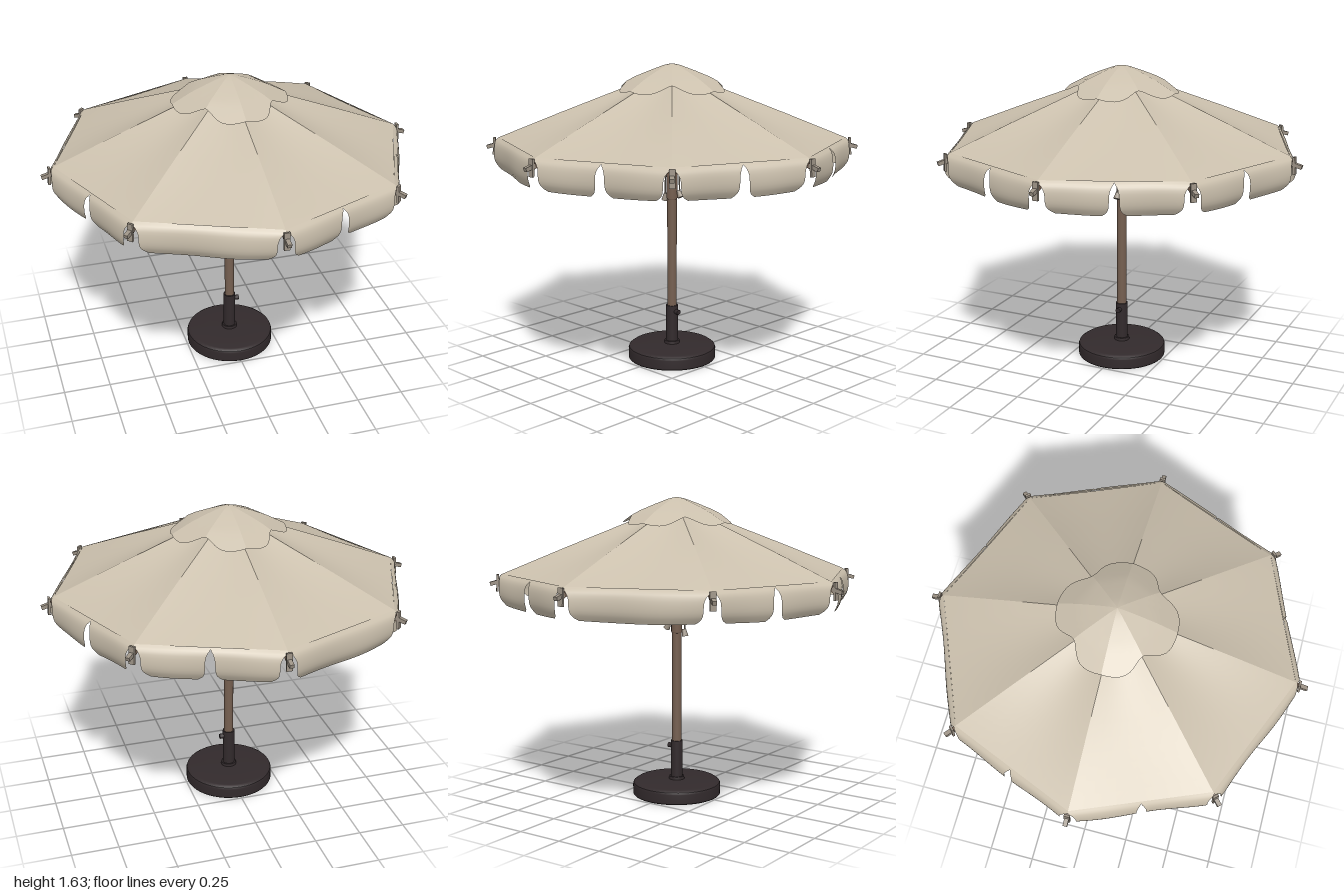
import * as THREE from 'three';

const mat = (name, color, side = THREE.FrontSide) => {
  const m = new THREE.MeshStandardMaterial({ color, side });
  m.name = name;
  return m;
};

export function createModel() {
  const fabric = mat('beige fabric', 0xcbc0ad, THREE.DoubleSide);
  const wood = mat('brown wood', 0x755f50);
  const hubBrown = mat('hub brown', 0x6b4d3d);
  const dark = mat('dark base', 0x322a2c);
  const fitting = mat('pale fitting', 0x9c9285);

  const model = new THREE.Group();
  const STEP = Math.PI / 4;
  const dir = (a) => new THREE.Vector3(Math.sin(a), 0, Math.cos(a));
  const at = (a, r, y) => dir(a).multiplyScalar(r).setY(y);

  const add = (name, geo, material, parent = model) => {
    const m = new THREE.Mesh(geo, material);
    m.name = name;
    parent.add(m);
    return m;
  };

  // Smooth sheet: u runs round the canopy, v runs outwards and down
  const sheet = (nu, nv, f) => {
    const pos = [], idx = [];
    for (let j = 0; j <= nv; j++)
      for (let i = 0; i <= nu; i++) pos.push(...f(i / nu, j / nv).toArray());
    for (let j = 0; j < nv; j++)
      for (let i = 0; i < nu; i++) {
        const a = j * (nu + 1) + i, b = a + nu + 1;
        idx.push(a, b, a + 1, a + 1, b, b + 1);
      }
    const g = new THREE.BufferGeometry();
    g.setAttribute('position', new THREE.Float32BufferAttribute(pos, 3));
    g.setIndex(idx);
    g.computeVertexNormals();
    return g;
  };

  // Square bar between two points
  const bar = (name, a, b, w, h, material, parent) => {
    const m = add(name, new THREE.BoxGeometry(w, h, a.distanceTo(b)), material, new THREE.Group());
    m.position.copy(a).add(b).multiplyScalar(0.5);
    m.lookAt(b);
    parent.add(m);
    return m;
  };

  const lathe = (name, pts, material, seg = 32) =>
    add(name, new THREE.LatheGeometry(pts.map((p) => new THREE.Vector2(...p)), seg), material);

  // Piecewise linear height along a profile of [radius, height]
  const heightAt = (profile, r) => {
    let i = 1;
    while (i < profile.length - 1 && r > profile[i][0]) i++;
    const [r0, y0] = profile[i - 1], [r1, y1] = profile[i];
    return y0 + ((y1 - y0) * (r - r0)) / (r1 - r0);
  };

  // Point on the straight edge between two neighbouring ribs
  const edge = (k, t, r, y) => at(k * STEP, r, y).lerp(at((k + 1) * STEP, r, y), t);

  const roof = [[0, 1.605], [0.3, 1.487], [0.6, 1.37], [0.93, 1.237]];
  const capProfile = [[0, 1.632], [0.04, 1.625], [0.12, 1.595], [0.2, 1.562], [0.32, 1.497]];
  const hem = new THREE.CatmullRomCurve3([
    [0.93, 1.237], [0.955, 1.215], [0.966, 1.17], [0.962, 1.12], [0.94, 1.082],
  ].map(([r, y]) => new THREE.Vector3(r, y, 0)));

  const canopy = new THREE.Group();
  canopy.name = 'canopy';
  model.add(canopy);

  for (let k = 0; k < 8; k++) {
    // Roof panel, sagging a little between the ribs
    add('roofPanel', sheet(12, 14, (t, v) => {
      const r = 0.93 * v;
      const sag = 0.02 * Math.sin(Math.PI * t) * Math.sin(Math.PI * Math.min(1, v * 0.9));
      return edge(k, t, r, heightAt(roof, r) - sag);
    }), fabric, canopy);

    // Hanging valance tabs with rounded ends, two on most panels
    const tabs = k === 7 || k === 4 ? [[0, 1, 0.06, 0.06]] : [[0, 0.5, 0.06, 0.032], [0.5, 1, 0.032, 0.06]];
    for (const [t0, t1, in0, in1] of tabs)
      add('valanceTab', sheet(16, 12, (u, v) => {
        const p = hem.getPoint(v);
        const open = Math.sqrt(THREE.MathUtils.smoothstep(v, 0.12, 0.5));
        const round = 0.05 * Math.pow(v, 8);
        const a = t0 + in0 * open + round, b = t1 - in1 * open - round;
        const t = a + (b - a) * u;
        const wave = 0.007 * v * Math.sin(t * 9 + k * 2);
        return edge(k, t, p.x + wave, p.y - 0.012 * Math.sin(Math.PI * t) * v);
      }), fabric, canopy);

    // Vent cap panel, notched at the diagonals
    add('ventCapPanel', sheet(10, 10, (t, v) => {
      const a = (k + t) * STEP;
      const r = v * (0.305 - 0.06 * Math.pow(Math.abs(Math.sin(2 * a)), 6));
      const ring = (r * Math.cos((t - 0.5) * STEP)) / Math.cos(STEP / 2);
      return at(a, r, heightAt(capProfile, ring));
    }), fabric, canopy);
  }

  // Frame: ribs with fabric sleeves, struts and tip fittings
  const frame = new THREE.Group();
  frame.name = 'frame';
  model.add(frame);
  for (let k = 0; k < 8; k++) {
    const a = k * STEP, side = dir(a + Math.PI / 2);
    const p0 = at(a, 0.04, 1.562), p1 = at(a, 0.95, 1.195);
    bar('rib', p0, p1, 0.02, 0.026, wood, frame);
    for (const s of [-1, 1]) {
      const off = side.clone().multiplyScalar(s * 0.014);
      bar('ribSleeve', at(a, 0.12, 1.534).add(off), at(a, 0.9, 1.219).add(off), 0.005, 0.03, fabric, frame);
    }
    bar('strut', at(a, 0.03, 1.115), at(a, 0.5, 1.372), 0.022, 0.026, wood, frame);
    bar('strutBracket', at(a, 0.47, 1.353), at(a, 0.53, 1.365), 0.032, 0.03, hubBrown, frame);
    bar('ribTip', at(a, 0.94, 1.2), at(a, 0.995, 1.185), 0.022, 0.02, fitting, frame);
    bar('tipStrap', at(a, 0.953, 1.235), at(a, 0.958, 1.145), 0.03, 0.012, fitting, frame);
  }

  // Pole, hubs and collar
  const pole = add('pole', new THREE.CylinderGeometry(0.026, 0.026, 1.5, 24), wood);
  pole.position.y = 0.84;
  lathe('lowerHub', [[0.026, 1.04], [0.036, 1.05], [0.038, 1.09], [0.05, 1.1], [0.05, 1.14], [0.026, 1.15]], hubBrown, 24);
  lathe('poleSleeve', [[0.026, 0.9], [0.03, 0.905], [0.03, 1.04], [0.026, 1.045]], wood, 24);
  lathe('upperHub', [[0.026, 1.53], [0.05, 1.535], [0.05, 1.575], [0.02, 1.585]], hubBrown, 24);

  // Pull cords with toggles
  for (const [x, y] of [[-0.052, 0.905], [0.058, 0.935]]) {
    const path = new THREE.CatmullRomCurve3([
      new THREE.Vector3(x * 0.8, 1.1, 0), new THREE.Vector3(x * 0.95, 1.02, 0), new THREE.Vector3(x, y, 0),
    ]);
    add('pullCord', new THREE.TubeGeometry(path, 10, 0.004, 6), fitting);
    const toggle = add('cordToggle', new THREE.CylinderGeometry(0.01, 0.018, 0.04, 12), fitting);
    toggle.position.set(x, y, 0);
    toggle.rotation.z = x > 0 ? 0.5 : -0.2;
  }

  // Weighted base with its tube and clamp knob
  lathe('baseSide', [[0, 0], [0.238, 0], [0.241, 0.004]], dark, 48);
  lathe('baseRim', [[0.241, 0.004], [0.242, 0.055], [0.238, 0.066]], dark, 48);
  lathe('baseTop', [[0.238, 0.066], [0.222, 0.077], [0.12, 0.081], [0, 0.083]], dark, 48);
  const collar = add('baseCollar', new THREE.CylinderGeometry(0.041, 0.043, 0.02, 24), dark);
  collar.position.y = 0.088;
  const tube = add('baseTube', new THREE.CylinderGeometry(0.033, 0.033, 0.22, 24), dark);
  tube.position.y = 0.19;
  const knob = add('clampKnob', new THREE.CylinderGeometry(0.014, 0.014, 0.03, 12), dark);
  knob.rotation.z = Math.PI / 2;
  knob.position.set(0.038, 0.266, 0);

  return model;
}
